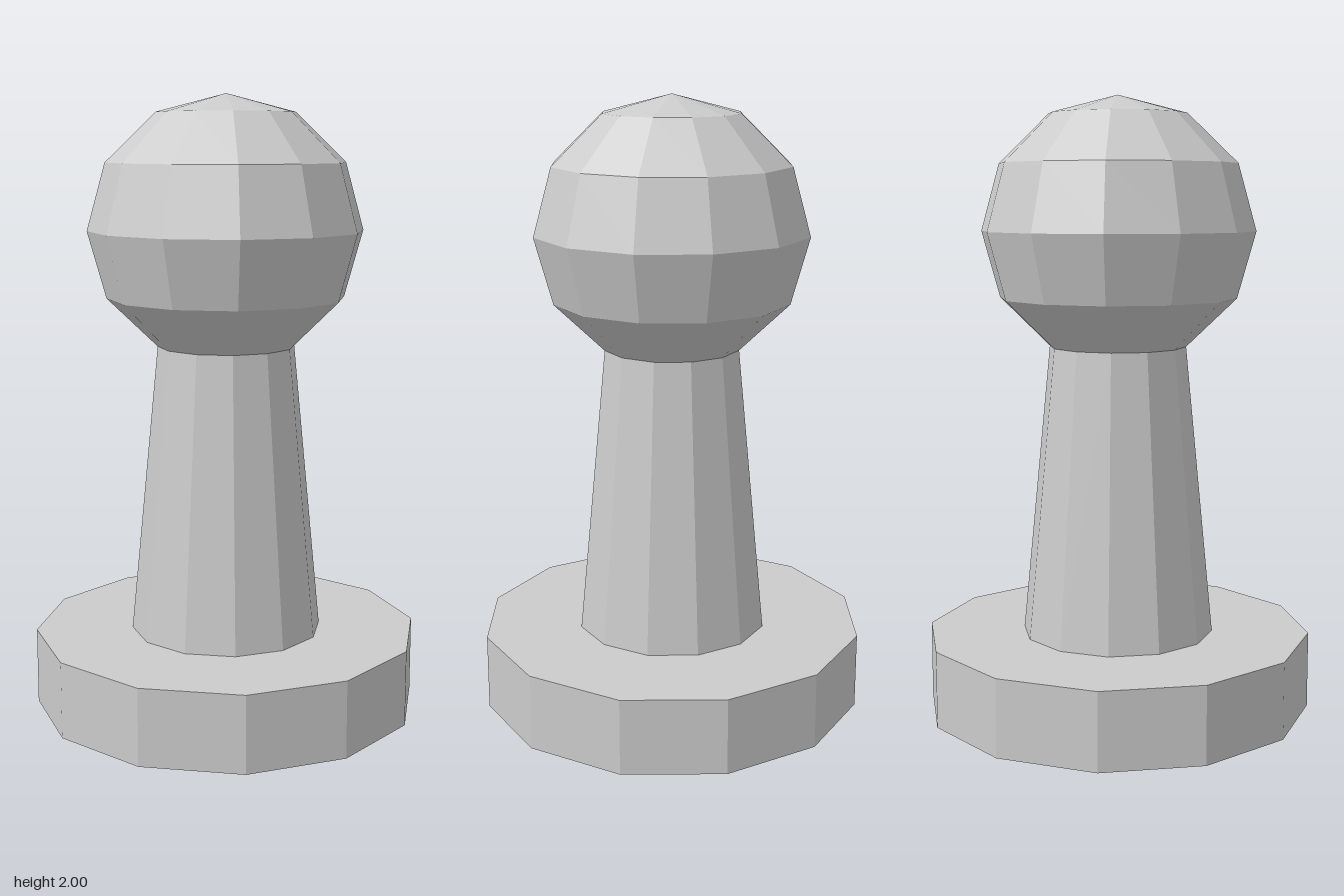
import * as THREE from 'three';

const SIDES = 12;
const APOTHEM = Math.cos(Math.PI / SIDES); // flat sides face the axes

export function createModel() {
  const group = new THREE.Group();
  const material = new THREE.MeshStandardMaterial({ color: 0xcccccc, flatShading: true });

  const add = (name, geometry, y) => {
    const mesh = new THREE.Mesh(geometry, material);
    mesh.name = name;
    mesh.position.y = y;
    mesh.rotation.y = Math.PI / SIDES;
    group.add(mesh);
    return mesh;
  };

  // Tapered prism, sized by the distance from its axis to its flat sides
  const prism = (top, bottom, height, open) =>
    new THREE.CylinderGeometry(top / APOTHEM, bottom / APOTHEM, height, SIDES, 1, open);

  // Flat round foot
  add('base', prism(0.612, 0.612, 0.25, false), 0.125);

  // Tapered shaft, closed by the base and the head
  add('stem', prism(0.215, 0.304, 0.95, true), 0.725);

  // Faceted ball whose lowest ring meets the top of the stem
  const ball = new THREE.SphereGeometry(0.43, SIDES, 5, 0, Math.PI * 2, 0, Math.PI * 5 / 6);
  ball.scale(1 / APOTHEM, 1, 1 / APOTHEM);
  add('head', ball, 1.57);

  return group;
}
